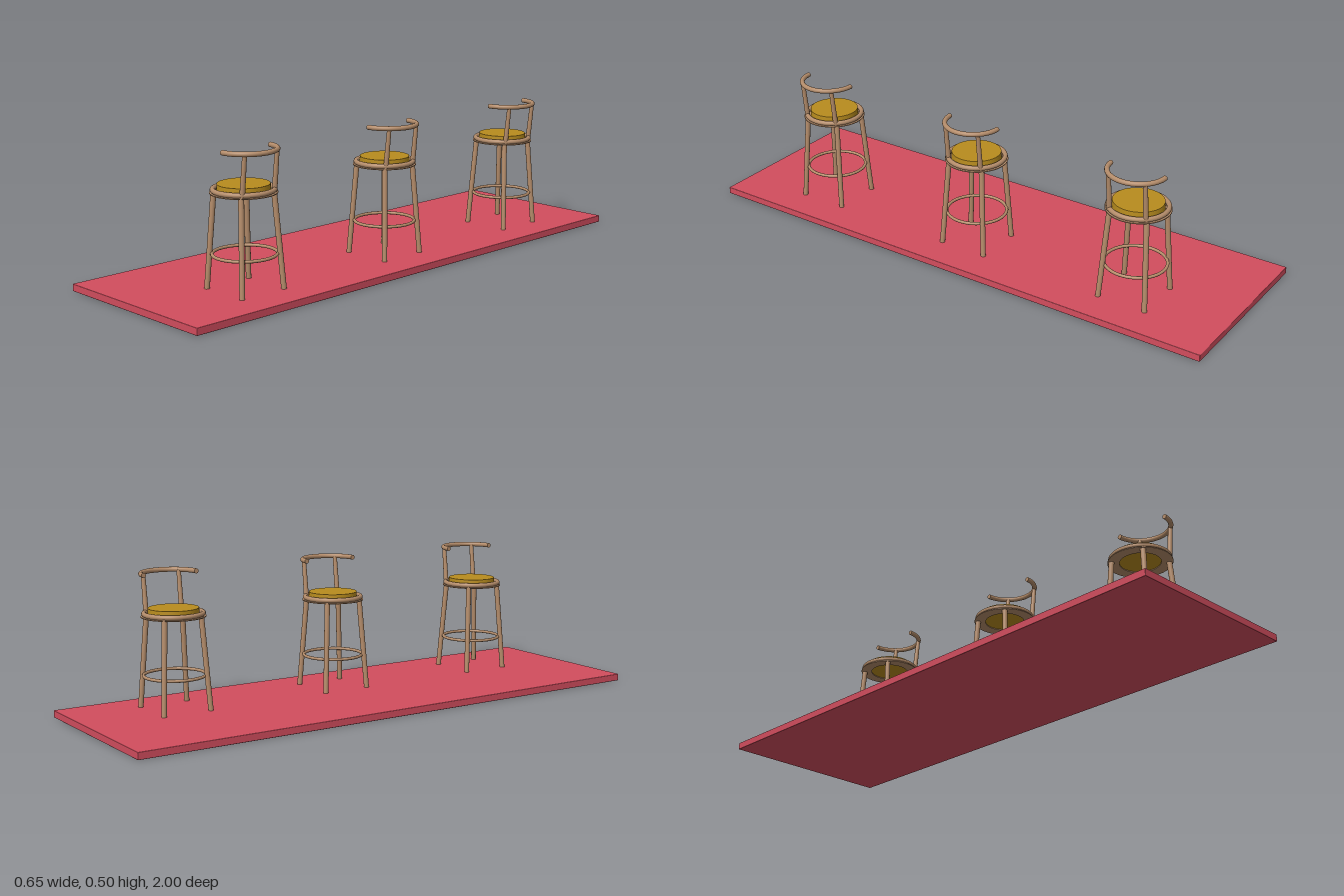
import * as THREE from 'three';
import { RoundedBoxGeometry } from 'three/addons/geometries/RoundedBoxGeometry.js';

const wood = new THREE.MeshStandardMaterial({ color: 0xb48c6a });
wood.name = 'wood';
const red = new THREE.MeshStandardMaterial({ color: 0xd24d5e });
red.name = 'red base';
const mustard = new THREE.MeshStandardMaterial({ color: 0xb88c1e });
mustard.name = 'mustard cushion';

function add(parent, name, geometry, material) {
  const mesh = new THREE.Mesh(geometry, material);
  mesh.name = name;
  parent.add(mesh);
  return mesh;
}

// Round rod between two points
function rod(parent, name, from, to, rFrom, rTo) {
  const a = new THREE.Vector3(...from);
  const b = new THREE.Vector3(...to);
  const dir = b.clone().sub(a);
  const mesh = add(parent, name, new THREE.CylinderGeometry(rTo, rFrom, dir.length(), 20), wood);
  mesh.position.copy(a).add(b).multiplyScalar(0.5);
  mesh.quaternion.setFromUnitVectors(new THREE.Vector3(0, 1, 0), dir.normalize());
}

// Horizontal ring
function ring(parent, name, radius, tube, y) {
  const mesh = add(parent, name, new THREE.TorusGeometry(radius, tube, 14, 56), wood);
  mesh.rotation.x = Math.PI / 2;
  mesh.position.y = y;
}

function createStool() {
  const stool = new THREE.Group();
  stool.name = 'stool';

  // Four splayed legs
  for (const sx of [-1, 1]) {
    for (const sz of [-1, 1]) {
      rod(stool, 'leg', [sx * 0.088, 0.024, sz * 0.088], [sx * 0.068, 0.35, sz * 0.068], 0.009, 0.0095);
    }
  }
  ring(stool, 'footRing', 0.1055, 0.0055, 0.143);

  // Seat: rounded rim, thin flat ring below it, cushion inside
  ring(stool, 'seatRim', 0.0995, 0.0085, 0.3545);
  const plate = new THREE.Shape().absarc(0, 0, 0.11, 0, Math.PI * 2);
  plate.holes.push(new THREE.Path().absarc(0, 0, 0.07, 0, Math.PI * 2, true));
  const under = add(stool, 'seatPlate',
    new THREE.ExtrudeGeometry(plate, { depth: 0.003, bevelEnabled: false, curveSegments: 48 }), wood);
  under.rotation.x = -Math.PI / 2;
  under.position.y = 0.343;
  const cushion = add(stool, 'cushion', new THREE.CylinderGeometry(0.086, 0.0875, 0.027, 48), mustard);
  cushion.position.y = 0.36;

  // Two back posts carrying the half-round backrest
  for (const sz of [-1, 1]) {
    rod(stool, 'backPost', [0.072, 0.35, sz * 0.067], [0.0875, 0.488, sz * 0.067], 0.009, 0.0075);
  }
  const backrest = new THREE.Group();
  backrest.name = 'backrest';
  backrest.position.set(0.017, 0.4875, 0);
  const arc = add(backrest, 'backrestRail', new THREE.TorusGeometry(0.0985, 0.0085, 14, 36, Math.PI), wood);
  arc.rotation.set(Math.PI / 2, 0, -Math.PI / 2);
  for (const sz of [-1, 1]) {
    const cap = add(backrest, 'railEnd', new THREE.CircleGeometry(0.0085, 14), wood);
    cap.rotation.y = -Math.PI / 2;
    cap.position.z = sz * 0.0985;
  }
  stool.add(backrest);
  return stool;
}

export function createModel() {
  const model = new THREE.Group();
  model.name = 'stoolDisplay';

  // Long flat base
  const base = add(model, 'base', new RoundedBoxGeometry(0.65, 0.025, 2, 2, 0.002), red);
  base.position.y = 0.0125;

  // Row of three stools
  for (const z of [-0.647, -0.007, 0.634]) {
    const stool = createStool();
    stool.position.set(0.114, 0, z);
    model.add(stool);
  }
  return model;
}
